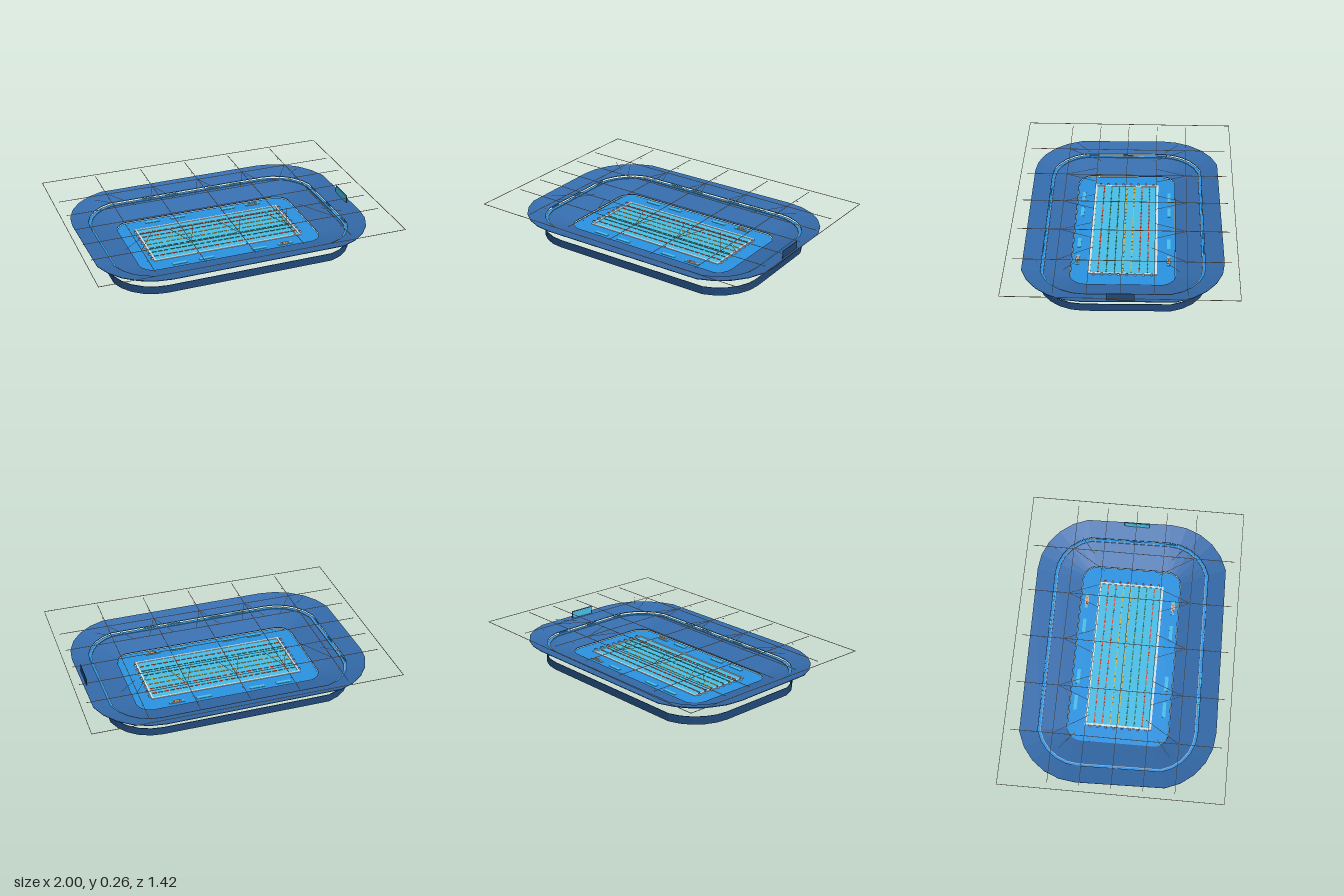
import * as THREE from 'three';

const mat = (name, color, side = THREE.FrontSide) => {
  const m = new THREE.MeshStandardMaterial({ color, side });
  m.name = name;
  return m;
};

export function createModel() {
  const model = new THREE.Group();
  model.name = 'swimmingStadium';
  const navy = mat('navy structure', 0x204878, THREE.DoubleSide);
  const seat = mat('seat blue', 0x356cac);
  const deckBlue = mat('deck blue', 0x2b92e2);
  const teal = mat('water teal', 0x49bee8);
  const pale = mat('pale tile', 0xdbe2e4);
  const steel = mat('beige steel', 0xc4b5a4);
  const red = mat('rope red', 0xd8492f);
  const yellow = mat('rope yellow', 0xd6b23c);
  const green = mat('rope green', 0x2c7a5c);

  const add = (name, geo, material, parent = model) => {
    const m = new THREE.Mesh(geo, material);
    m.name = name;
    parent.add(m);
    return m;
  };
  const group = (name) => {
    const g = new THREE.Group();
    g.name = name;
    model.add(g);
    return g;
  };
  const box = (name, w, h, d, x, y, z, material, parent) => {
    const m = add(name, new THREE.BoxGeometry(w, h, d), material, parent);
    m.position.set(x, y, z);
    return m;
  };

  // Rounded bowl outline, grown outward by an offset; six steps per corner
  const outline = (off) => {
    const pts = [];
    const corners = [[1, -1], [1, 1], [-1, 1], [-1, -1]];
    corners.forEach(([sx, sz], c) => {
      for (let i = 0; i < 6; i++) {
        const a = -Math.PI / 2 + (c + i / 6) * Math.PI / 2;
        const r = 0.1 + off;
        pts.push([sx * 0.515 + r * Math.cos(a), sz * 0.23 + r * Math.sin(a)]);
      }
    });
    return pts;
  };

  // Flat-faceted band between two outlines
  const band = (offA, yA, offB, yB) => {
    const A = outline(offA), B = outline(offB), pos = [];
    const n = A.length;
    for (let i = 0; i < n; i++) {
      const j = (i + 1) % n;
      const a0 = [A[i][0], yA, A[i][1]], a1 = [A[j][0], yA, A[j][1]];
      const b0 = [B[i][0], yB, B[i][1]], b1 = [B[j][0], yB, B[j][1]];
      pos.push(...a0, ...a1, ...b1, ...a0, ...b1, ...b0);
    }
    const g = new THREE.BufferGeometry();
    g.setAttribute('position', new THREE.Float32BufferAttribute(pos, 3));
    g.computeVertexNormals();
    return g;
  };

  // Outer wall
  add('facade', band(0.193, 0.052, 0.193, 0), navy);
  add('facadeInner', band(0.189, 0.052, 0.189, 0), navy);
  add('facadeTop', band(0.189, 0.052, 0.193, 0.052), navy);

  // Seating tiers: blue seats on top, navy structure below
  const tier = (name, o0, y0, o1, y1) => {
    add(name + 'Seats', band(o0, y0, o1, y1), seat);
    add(name + 'Underside', band(o1, y1 - 0.004, o0, y0 - 0.004), navy);
    add(name + 'Rim', band(o1, y1, o1, y1 - 0.004), navy);
    add(name + 'Lip', band(o0, y0 - 0.004, o0, y0), navy);
  };
  tier('lowerStand', 0.002, 0.059, 0.17, 0.108);
  tier('upperStand', 0.187, 0.127, 0.305, 0.162);

  // Walkway between the tiers, with an inner rail
  add('concourseTop', band(0.168, 0.113, 0.19, 0.113), deckBlue);
  add('concourseBottom', band(0.19, 0.104, 0.168, 0.104), deckBlue);
  add('concourseEdge', band(0.19, 0.113, 0.19, 0.104), deckBlue);
  add('concourseInnerEdge', band(0.168, 0.104, 0.168, 0.113), deckBlue);
  add('concourseRail', band(0.169, 0.115, 0.172, 0.115), steel);
  const portals = group('portals');
  for (const s of [-1, 1]) {
    for (const x of [-0.32, -0.15, 0.15, 0.32])
      box('portal', 0.09, 0.006, 0.006, x, 0.116, s * 0.51, teal, portals);
    for (const z of [-0.24, 0, 0.24])
      box('portal', 0.006, 0.007, 0.07, s * 0.797, 0.1165, z, deckBlue, portals);
  }

  // Pool deck with a rectangular opening
  const shape = new THREE.Shape(outline(0).map(([x, z]) => new THREE.Vector2(x, -z)));
  shape.holes.push(new THREE.Path([[-0.49, -0.2], [-0.49, 0.2], [0.49, 0.2], [0.49, -0.2]]
    .map(([x, y]) => new THREE.Vector2(x, y))));
  const deckGeo = new THREE.ExtrudeGeometry(shape, { depth: 0.006, bevelEnabled: false });
  deckGeo.rotateX(-Math.PI / 2);
  add('poolDeck', deckGeo, deckBlue).position.y = 0.046;

  // Pool
  box('poolBasin', 0.99, 0.006, 0.41, 0, 0.045, 0, pale);
  box('water', 0.985, 0.005, 0.41, 0, 0.0505, 0, teal);
  for (const s of [-1, 1]) {
    box('poolEdgeLong', 1.01, 0.004, 0.012, 0, 0.054, s * 0.21, pale);
    box('poolEdgeShort', 0.012, 0.004, 0.432, s * 0.499, 0.054, 0, pale);
  }

  // Lane ropes made of separate floats
  const lanes = group('laneRopes');
  [red, red, yellow, yellow, green, green, red].forEach((m, i) => {
    for (let k = 0; k < 24; k++)
      box('laneFloat', 0.03, 0.004, 0.007, (k - 11.5) * 0.041, 0.054, (i - 3) * 0.052, m, lanes);
  });

  // Starting blocks
  const blocks = group('startingBlocks');
  for (const s of [-1, 1])
    for (let i = 0; i < 8; i++) {
      const z = (i - 3.5) * 0.052;
      box('startingBlock', 0.013, 0.01, 0.014, s * 0.511, 0.057, z, pale, blocks);
      box('blockTop', 0.008, 0.002, 0.009, s * 0.511, 0.063, z, red, blocks);
    }

  // Flat benches and round tables on the deck
  for (const s of [-1, 1]) {
    for (const x of [-0.36, -0.18, 0.18, 0.36])
      box('bench', 0.1, 0.003, 0.022, x, 0.0535, s * 0.29, teal);
    const top = add('deckTable', new THREE.CylinderGeometry(0.035, 0.035, 0.003, 16), steel);
    top.scale.z = 0.4;
    top.position.set(0.36, 0.0565, s * 0.29);
    for (const k of [-1, 0, 1])
      box('tableItem', 0.009, 0.002, 0.009, 0.36 + k * 0.017, 0.059, s * 0.29, k ? red : yellow);
  }

  // Scoreboard facing the pool
  box('scoreboard', 0.004, 0.06, 0.17, 0.892, 0.174, 0, navy);
  box('scoreboardScreen', 0.002, 0.052, 0.16, 0.889, 0.174, 0, teal);

  // Open roof grid
  const roof = group('roof');
  const rod = (name, a, b) => {
    const va = new THREE.Vector3(...a), vb = new THREE.Vector3(...b);
    const d = vb.clone().sub(va);
    const o = add(name, new THREE.CylinderGeometry(0.0015, 0.0015, d.length(), 6), steel, roof);
    o.position.copy(va).add(vb).multiplyScalar(0.5);
    o.quaternion.setFromUnitVectors(new THREE.Vector3(0, 1, 0), d.normalize());
  };
  for (const s of [-1, 1]) {
    box('roofFrameLong', 2, 0.003, 0.003, 0, 0.252, s * 0.711, steel, roof);
    box('roofFrameShort', 0.003, 0.003, 1.42, s * 0.9985, 0.252, 0, steel, roof);
  }
  for (const z of [-0.4, -0.2, 0, 0.2, 0.4])
    box('roofPurlin', 1.92, 0.003, 0.003, 0, 0.254, z, steel, roof);
  for (const x of [-0.64, -0.32, 0, 0.32, 0.64])
    box('roofTruss', 0.003, 0.003, 1.34, x, 0.26, 0, steel, roof);

  // Roof bracing and lamps
  for (const s of [-1, 1]) {
    for (const x of [-0.32, 0, 0.32])
      for (const k of [-1, 1])
        rod('roofBrace', [x, 0.259, s * 0.4], [x + k * 0.08, 0.259, s * 0.2]);
    for (const k of [-1, 1]) {
      rod('cornerBrace', [k * 0.64, 0.259, s * 0.4], [k * 0.5, 0.259, s * 0.18]);
      rod('endBrace', [k * 0.73, 0.252, s * 0.35], [k * 0.62, 0.252, s * 0.26]);
    }
    for (const x of [-0.64, -0.32, 0, 0.32, 0.64])
      box('lamp', 0.006, 0.004, 0.006, x, 0.246, s * 0.52, pale, roof);
  }

  return model;
}
